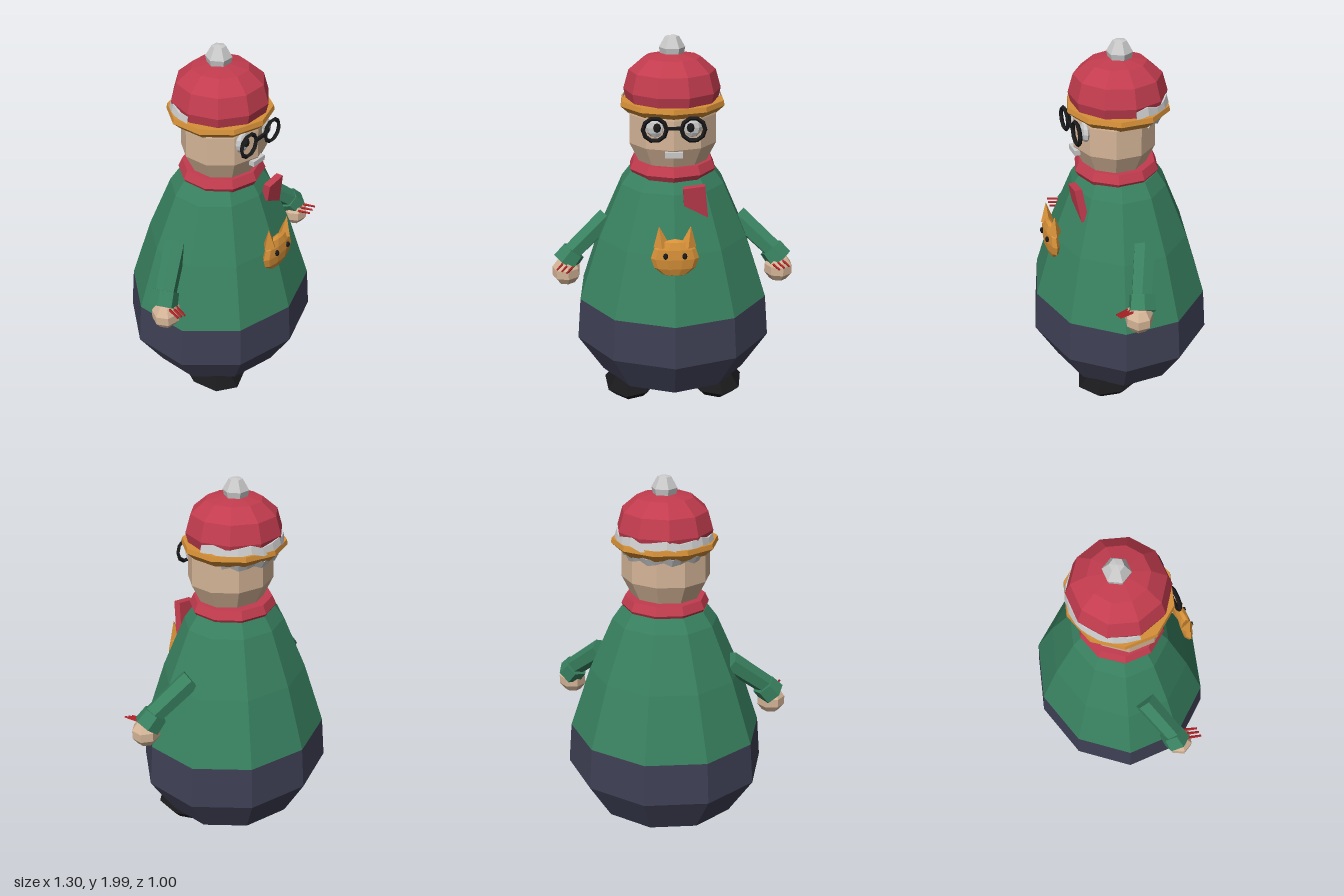
import * as THREE from 'three';

const paint = (color) => new THREE.MeshStandardMaterial({ color, flatShading: true, side: THREE.DoubleSide });
const V = (x, y, z) => new THREE.Vector3(x, y, z);

export function createModel() {
  const root = new THREE.Group();
  const mat = {
    green: paint(0x38805f), navy: paint(0x3d3f53), red: paint(0xc23c4e), orange: paint(0xd69038),
    skin: paint(0xd4b497), black: paint(0x19191b), grey: paint(0xcccccc), claw: paint(0xb02428),
  };
  const add = (name, geo, material, pos = [0, 0, 0], scale = [1, 1, 1], parent = root) => {
    const m = new THREE.Mesh(geo, material);
    m.name = name;
    m.position.set(...pos);
    m.scale.set(...scale);
    parent.add(m);
    return m;
  };
  const lathe = (pts, sides = 10, start = 0, length = Math.PI * 2) =>
    new THREE.LatheGeometry(pts.map((p) => new THREE.Vector2(...p)), sides, start, length);
  // Cylinder running between two points
  const limb = (name, a, b, r1, r2, sides, material, parent) => {
    const dir = b.clone().sub(a);
    const m = add(name, new THREE.CylinderGeometry(r2, r1, dir.length(), sides), material,
      a.clone().add(b).multiplyScalar(0.5).toArray(), [1, 1, 1], parent);
    m.quaternion.setFromUnitVectors(V(0, 1, 0), dir.normalize());
    return m;
  };

  // Bulky body: trousers below, jumper above
  add('trousers', lathe([[0, 0.135], [0.375, 0.135], [0.5, 0.365], [0.48, 0.6]]), mat.navy, [0, 0, 0], [1.11, 1, 1]);
  add('jumper', lathe([[0.48, 0.6], [0.372, 0.95], [0.255, 1.24], [0.207, 1.31], [0, 1.31]]),
    mat.green, [0, 0, 0], [1.11, 1, 1]);

  // Scarf ring and hanging end
  add('scarf', lathe([[0.16, 1.29], [0.205, 1.29], [0.225, 1.325], [0.205, 1.37], [0.15, 1.37]]),
    mat.red, [0, 0, 0.01], [1.04, 1, 1]);
  const tail = new THREE.Shape([[0.045, 1.285], [0.05, 1.19], [0.175, 1.12], [0.155, 1.3]]
    .map((p) => new THREE.Vector2(...p)));
  const tailGeo = new THREE.ExtrudeGeometry(tail, { depth: 0.04, bevelEnabled: false });
  const tp = tailGeo.attributes.position;
  for (let i = 0; i < tp.count; i++) tp.setZ(i, tp.getZ(i) + 0.252 - (1.3 - tp.getY(i)) * 0.15);
  add('scarfEnd', tailGeo, mat.red);

  // Head
  add('head', lathe([[0, 1.34], [0.165, 1.36], [0.215, 1.47], [0.212, 1.62], [0.2, 1.68], [0, 1.69]]),
    mat.skin, [0, 0, 0.025], [1.09, 1, 1]);
  add('mouth', new THREE.BoxGeometry(0.09, 0.028, 0.03), mat.grey, [0, 1.45, 0.235]);

  // Hat with brim and bobble
  add('hat', lathe([[0, 1.67], [0.235, 1.67], [0.25, 1.735], [0.222, 1.83], [0.145, 1.895], [0, 1.92]], 10, Math.PI / 10),
    mat.red);
  add('brim', lathe([[0.2, 1.62], [0.225, 1.62], [0.267, 1.66], [0.262, 1.685], [0.2, 1.685]]),
    mat.orange, [0, 0, 0], [1.04, 1, 1]);
  add('bobble', lathe([[0, 1.9], [0.06, 1.91], [0.067, 1.94], [0.035, 1.995], [0, 2]], 6, Math.PI / 6), mat.grey, [0, 0, -0.01]);

  // Ragged hair around the back, above and below the brim
  const hair = (name, rTop, rBottom, top, bottom, spread) => {
    const n = 12;
    const geo = lathe([[rBottom - 0.04, bottom], [rBottom, bottom], [rTop, top], [rTop - 0.04, top]],
      n, Math.PI - spread, spread * 2);
    const p = geo.attributes.position;
    for (let i = 0; i < p.count; i++) p.setY(i, p.getY(i) + [0, 0.012, -0.008][Math.floor(i / 4) % 3]);
    add(name, geo, mat.grey);
  };
  hair('upperHair', 0.246, 0.256, 1.72, 1.68, Math.PI / 2);
  hair('lowerHair', 0.235, 0.215, 1.64, 1.6, 1.15);

  // Eyes and round glasses
  const glasses = new THREE.Group();
  glasses.name = 'glasses';
  root.add(glasses);
  for (const s of [-1, 1]) {
    add('eye', new THREE.SphereGeometry(1, 8, 6), mat.grey, [s * 0.09, 1.585, 0.208], [0.05, 0.053, 0.025]);
    add('pupil', new THREE.SphereGeometry(1, 6, 4), mat.black, [s * 0.083, 1.587, 0.23], [0.02, 0.025, 0.012]);
    add('rim', new THREE.TorusGeometry(0.058, 0.011, 4, 10), mat.black, [s * 0.095, 1.585, 0.253], [1, 1, 1], glasses);
  }
  add('bridge', new THREE.BoxGeometry(0.085, 0.015, 0.015), mat.black, [0, 1.59, 0.253], [1, 1, 1], glasses);

  // Cat face badge on the chest
  const badge = new THREE.Group();
  badge.name = 'catBadge';
  root.add(badge);
  add('catFace', new THREE.SphereGeometry(1, 10, 6), mat.orange, [0, 0.952, 0.385], [0.122, 0.105, 0.034], badge);
  for (const s of [-1, 1]) {
    const ear = add('catEar', new THREE.ConeGeometry(0.042, 0.11, 4), mat.orange, [s * 0.073, 1.07, 0.38], [1, 1, 0.85], badge);
    ear.rotation.z = -s * 0.12;
    add('catEye', new THREE.SphereGeometry(1, 6, 4), mat.black, [s * 0.048, 0.975, 0.417], [0.013, 0.018, 0.012], badge);
  }

  // Arms, hands, claws and shoes on both sides
  for (const s of [-1, 1]) {
    const arm = new THREE.Group();
    arm.name = s > 0 ? 'leftArm' : 'rightArm';
    root.add(arm);
    limb('sleeve', V(s * 0.355, 1.02, -0.01), V(s * 0.56, 0.845, 0.09), 0.06, 0.055, 6, mat.green, arm);
    limb('cuff', V(s * 0.535, 0.86, 0.075), V(s * 0.585, 0.80, 0.095), 0.068, 0.075, 6, mat.green, arm);
    add('hand', new THREE.SphereGeometry(1, 7, 5), mat.skin, [s * 0.578, 0.757, 0.11], [0.08, 0.078, 0.075], arm);
    for (let i = 0; i < 3; i++) {
      limb('claw', V(s * (0.535 + i * 0.027), 0.793 + i * 0.01, 0.13), V(s * (0.565 + i * 0.025), 0.797 + i * 0.01, 0.225),
        0.008, 0.006, 4, mat.claw, arm);
    }
    const shoe = add(s > 0 ? 'leftShoe' : 'rightShoe', new THREE.SphereGeometry(1, 8, 4), mat.black,
      [s * 0.235, 0.087, 0.14], [0.155, 0.078, 0.2]);
    shoe.rotation.y = s * 0.15;
  }
  return root;
}
